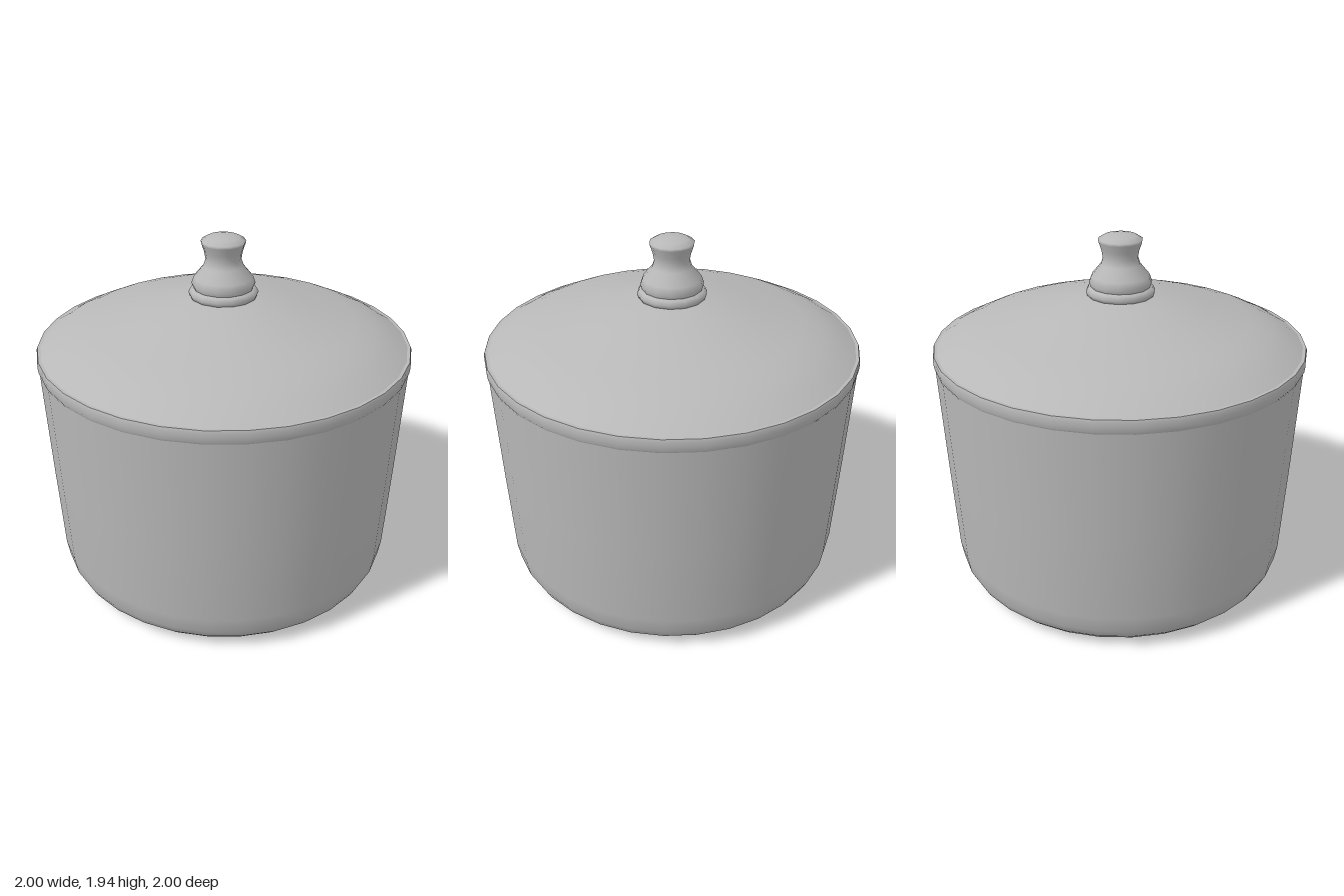
import * as THREE from 'three';

const ceramic = new THREE.MeshStandardMaterial({ color: 0xb8b8b8 });
ceramic.name = 'grey ceramic';

// Turned part: profile of [radius, height] from bottom to top
function turned(name, profile, sides) {
  const points = profile.map(([r, y]) => new THREE.Vector2(r, y));
  const mesh = new THREE.Mesh(new THREE.LatheGeometry(points, sides), ceramic);
  mesh.name = name;
  return mesh;
}

export function createModel() {
  const model = new THREE.Group();
  model.name = 'lidded pot';

  // Pot: underside, rounded foot and tapered wall
  model.add(turned('potBase', [[0, 0.005], [0.5, 0.01], [0.78, 0.02]], 32));
  model.add(turned('potBody', [
    [0.78, 0.02], [0.86, 0.04], [0.9, 0.08], [0.925, 0.13], [0.94, 0.22],
    [0.965, 0.7], [0.992, 1.29],
  ], 32));

  // Rounded rim band with a narrow flat ledge
  model.add(turned('rim', [
    [0.99, 1.288], [0.997, 1.3], [1, 1.325], [1, 1.35], [0.995, 1.363],
  ], 32));
  model.add(turned('rimLedge', [[0.995, 1.363], [0.97, 1.363]], 32));

  // Shallow conical lid with a softened shoulder
  model.add(turned('lid', [
    [0.98, 1.362], [0.9, 1.41], [0.81, 1.452], [0.7, 1.487], [0.45, 1.552], [0.16, 1.622], [0, 1.622],
  ], 32));

  // Knob: collar ring, flared foot, waist and domed cap
  const knob = new THREE.Group();
  knob.name = 'knob';
  knob.add(turned('knobCollar', [
    [0.16, 1.615], [0.177, 1.62], [0.185, 1.64], [0.175, 1.66], [0.155, 1.667],
  ], 14));
  knob.add(turned('knobStem', [
    [0.155, 1.66], [0.168, 1.69], [0.155, 1.725], [0.105, 1.785],
    [0.093, 1.82], [0.1, 1.86], [0.115, 1.905],
  ], 14));
  knob.add(turned('knobCap', [
    [0.115, 1.905], [0.117, 1.918], [0.085, 1.937], [0.04, 1.945], [0, 1.947],
  ], 14));
  knob.position.x = -0.004;
  model.add(knob);

  return model;
}
